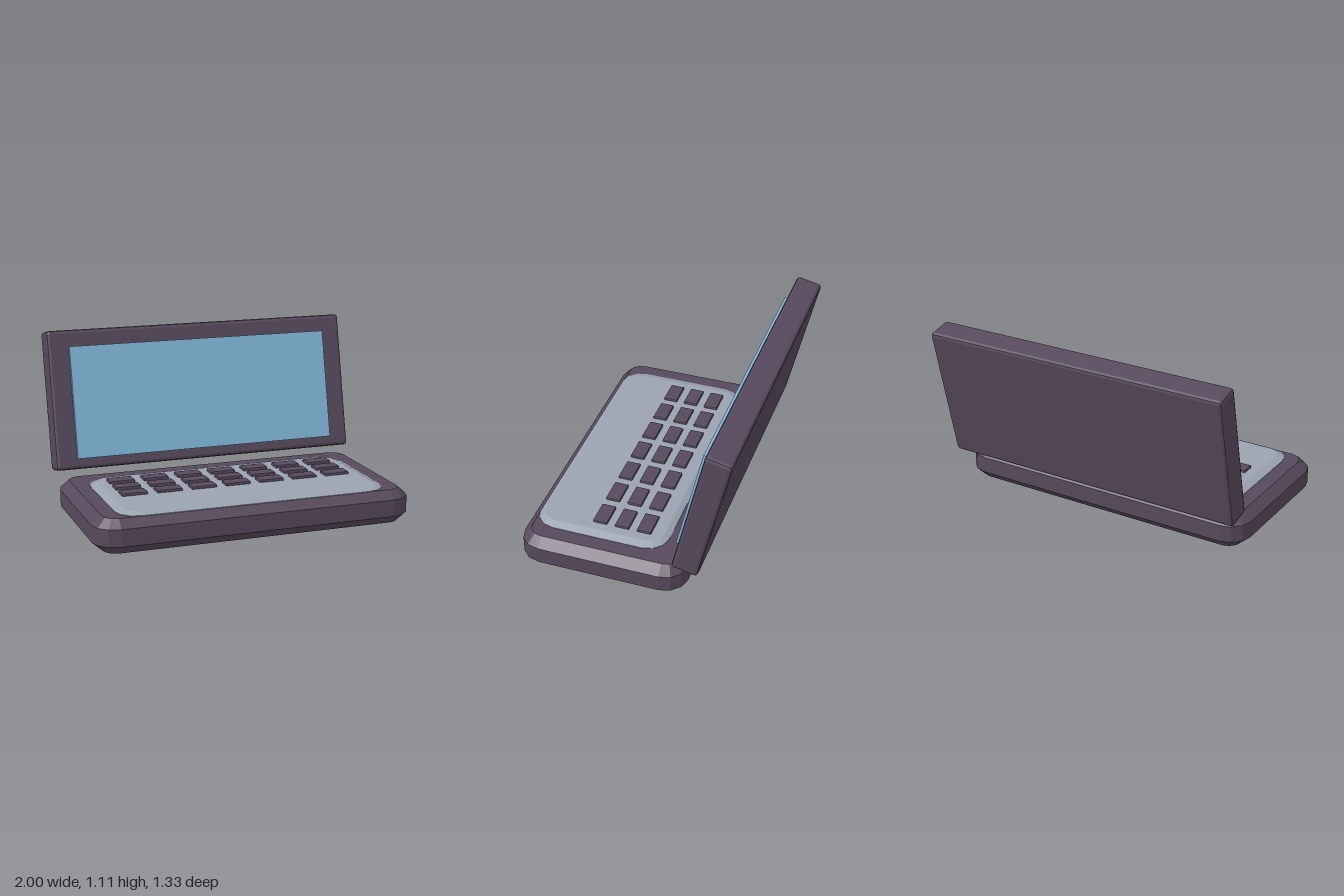
import * as THREE from 'three';
import { RoundedBoxGeometry } from 'three/addons/geometries/RoundedBoxGeometry.js';

const shell = new THREE.MeshStandardMaterial({ name: 'dark plum shell', color: 0x56495c });
const deck = new THREE.MeshStandardMaterial({ name: 'grey deck', color: 0x9aa3b1 });
const glass = new THREE.MeshStandardMaterial({ name: 'blue glass', color: 0x80b6d8 });

// Outline of a round-cornered rectangle, three facets per corner
function outline(hw, hd, rx, rz, y) {
  const points = [];
  const signs = [[1, 1], [-1, 1], [-1, -1], [1, -1]];
  signs.forEach(([sx, sz], corner) => {
    for (let i = 0; i <= 3; i++) {
      const a = (corner + i / 3) * Math.PI / 2;
      points.push([sx * (hw - rx) + rx * Math.cos(a), y, sz * (hd - rz) + rz * Math.sin(a)]);
    }
  });
  return points;
}

// Faceted slab through rings of [height, x inset, z inset], bottom to top
function slab(hw, hd, radius, rings) {
  const loops = rings.map(([y, ix, iz]) => outline(hw - ix, hd - iz, radius - ix, radius - iz, y));
  const pos = [];
  const tri = (a, b, c) => pos.push(...a, ...b, ...c);
  const n = loops[0].length;
  const bottom = loops[0], top = loops[loops.length - 1];
  for (let i = 0; i < n; i++) {
    const j = (i + 1) % n;
    for (let k = 0; k < loops.length - 1; k++) {
      const lo = loops[k], hi = loops[k + 1];
      tri(lo[i], hi[i], hi[j]);
      tri(lo[i], hi[j], lo[j]);
    }
    tri([0, bottom[0][1], 0], bottom[i], bottom[j]);
    tri([0, top[0][1], 0], top[j], top[i]);
  }
  const g = new THREE.BufferGeometry();
  g.setAttribute('position', new THREE.Float32BufferAttribute(pos, 3));
  g.computeVertexNormals();
  return g;
}

// Box with a single flat chamfer on every edge
function chamferBox(w, h, d, r) {
  const g = new RoundedBoxGeometry(w, h, d, 1, r);
  g.computeVertexNormals();
  return g;
}

function add(parent, name, geometry, material, x, y, z) {
  const mesh = new THREE.Mesh(geometry, material);
  mesh.name = name;
  mesh.position.set(x, y, z);
  parent.add(mesh);
  return mesh;
}

export function createModel() {
  const model = new THREE.Group();
  model.name = 'laptop';

  // Chamfered base and raised keyboard deck
  add(model, 'base', slab(1, 0.522, 0.14,
    [[0, 0.06, 0.05], [0.053, 0, 0], [0.158, 0, 0], [0.21, 0.06, 0.05]]), shell, 0, 0, 0.147);
  add(model, 'keyboardDeck', slab(0.85, 0.415, 0.13,
    [[0.2, 0, 0], [0.213, 0, 0], [0.23, 0.05, 0.035]]), deck, 0, 0, 0.205);

  // Three rows of seven keys
  const keys = new THREE.Group();
  keys.name = 'keys';
  model.add(keys);
  const keyShape = chamferBox(0.16, 0.035, 0.09, 0.006);
  for (let row = 0; row < 3; row++) {
    for (let col = 0; col < 7; col++) {
      add(keys, 'key', keyShape, shell, (col - 3) * 0.22, 0.229, -0.054 + row * 0.14);
    }
  }

  // Lid leaning back, with the screen standing slightly proud of it
  const lid = new THREE.Group();
  lid.name = 'lid';
  lid.position.set(0, 0.67, -0.488);
  lid.rotation.x = -0.227;
  model.add(lid);
  add(lid, 'lidPanel', chamferBox(2, 0.88, 0.164, 0.02), shell, 0, 0, 0);
  add(lid, 'screen', new THREE.BoxGeometry(1.73, 0.708, 0.04), glass, 0, -0.02, 0.088);

  return model;
}
